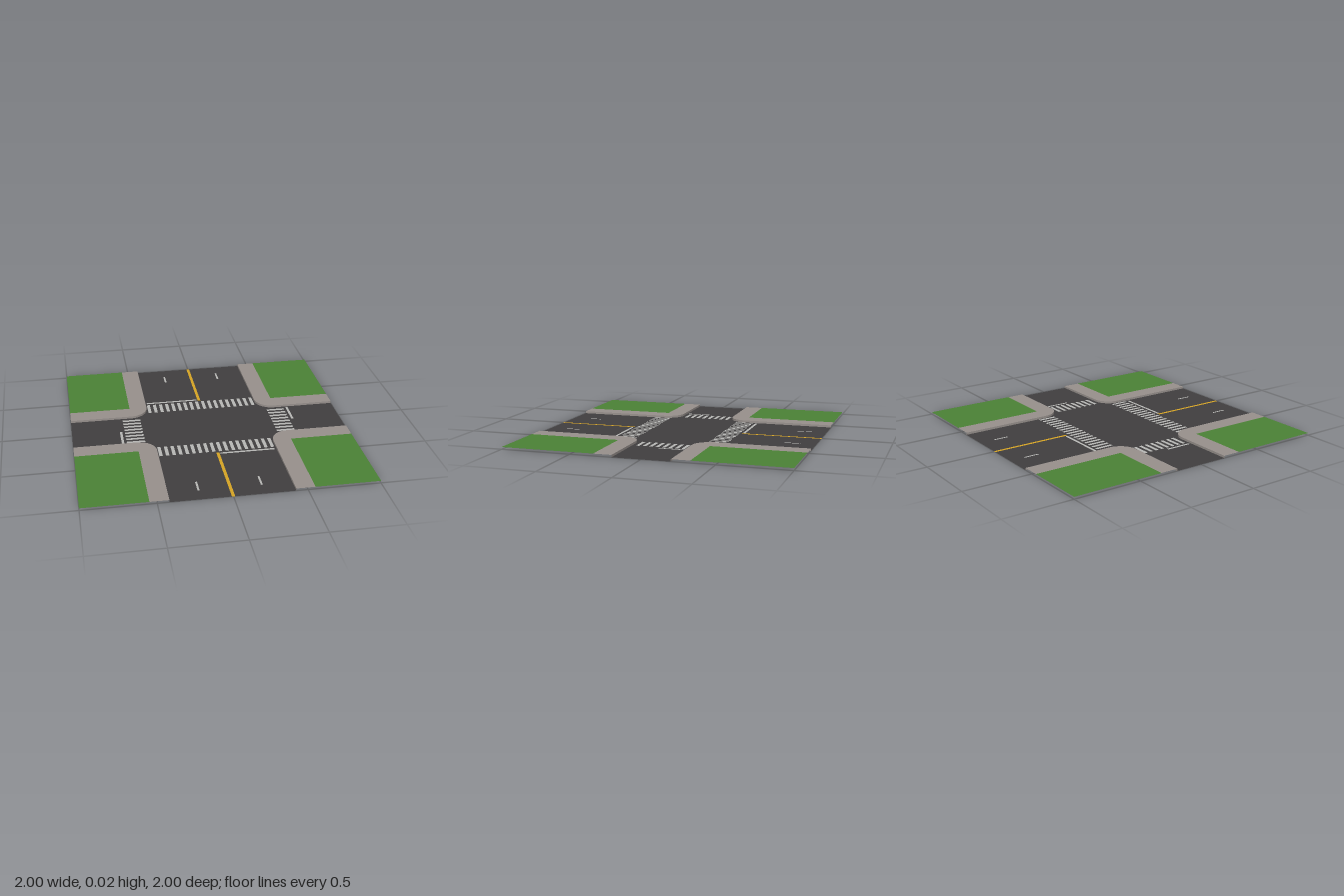
import * as THREE from 'three';

const ROAD_X = 0.42, ROAD_Z = 0.203; // half widths of the two roads
const WALK = 0.13; // pavement width and corner radius
const GRASS_X = ROAD_X + WALK, GRASS_Z = ROAD_Z + WALK;
const KERB_H = 0.016, LINE = 0.011, LINE_START = 0.417;

const mat = (color) => new THREE.MeshStandardMaterial({ color, side: THREE.DoubleSide });
const P = (x, z) => new THREE.Vector2(x, z);

// Plan shapes are given in (x, z) and laid flat facing up
function flat(shapes, y) {
  const geo = new THREE.ShapeGeometry(shapes);
  const pos = geo.attributes.position;
  for (let i = 0; i < pos.count; i++) pos.setY(i, -pos.getY(i));
  const idx = geo.index.array;
  for (let i = 0; i < idx.length; i += 3) [idx[i], idx[i + 1]] = [idx[i + 1], idx[i]];
  geo.rotateX(-Math.PI / 2).translate(0, y, 0);
  geo.computeVertexNormals();
  return geo;
}

const rect = (x0, x1, z0, z1) => [P(x0, z0), P(x1, z0), P(x1, z1), P(x0, z1)];

// Rounded kerb line of one corner, from the side road to the main road
function kerbLine(sx, sz) {
  const pts = [P(sx, sz * ROAD_Z)];
  const n = 12;
  for (let i = 0; i <= n; i++) {
    const a = (i / n) * Math.PI / 2;
    pts.push(P(sx * (GRASS_X - WALK * Math.sin(a)), sz * (GRASS_Z - WALK * Math.cos(a))));
  }
  pts.push(P(sx * ROAD_X, sz));
  return pts;
}

// Upright kerb face along a plan line
function kerbFace(line) {
  const pos = [], idx = [];
  line.forEach((p, i) => {
    pos.push(p.x, 0, p.y, p.x, KERB_H, p.y);
    if (i) {
      const a = 2 * i - 2;
      idx.push(a, a + 2, a + 3, a, a + 3, a + 1);
    }
  });
  const geo = new THREE.BufferGeometry();
  geo.setAttribute('position', new THREE.Float32BufferAttribute(pos, 3));
  geo.setIndex(idx);
  geo.computeVertexNormals();
  return geo;
}

export function createModel() {
  const model = new THREE.Group();
  model.name = 'roadCrossing';
  const asphalt = mat(0x403e3f), paving = mat(0x97908c), grass = mat(0x4b8236);
  const white = mat(0xb6b6b4), yellow = mat(0xd6a424);
  const add = (name, geo, material, parent = model) => {
    const mesh = new THREE.Mesh(geo, material);
    mesh.name = name;
    parent.add(mesh);
  };

  // White markings, inlaid in the asphalt
  const crossings = [], stopLines = [], laneDashes = [];
  const pitch = 0.047, half = 0.012;
  for (const s of [-1, 1]) {
    for (let i = 0; i < 18; i++) {
      const x = (i - 8.5) * pitch;
      crossings.push(rect(x - half, x + half, s * 0.268, s * 0.4));
    }
    for (let i = 0; i < 8; i++) {
      const z = (i - 3.5) * pitch;
      crossings.push(rect(s * 0.485, s * 0.618, z - half, z + half));
    }
    stopLines.push(rect(s * 0.017, s * 0.407, s * 0.418, s * 0.437));
    stopLines.push(rect(s * 0.636, s * 0.654, 0, -s * 0.19));
    for (const t of [-1, 1]) {
      const x = t * 0.213;
      laneDashes.push(rect(x - 0.007, x + 0.007, s * 0.779, s * 0.89));
    }
  }
  const toShapes = (list) => list.map((r) => new THREE.Shape(r));
  add('crossingStripes', flat(toShapes(crossings), 0), white);
  add('stopLines', flat(toShapes(stopLines), 0), white);
  add('laneDashes', flat(toShapes(laneDashes), 0), white);

  // Yellow centre lines
  const centre = [-1, 1].map((s) => rect(-LINE, LINE, s * LINE_START, s));
  add('centreLines', flat(toShapes(centre), 0), yellow);

  // Asphalt cross, open where the markings lie
  const notch = (s) => [P(s * LINE, s), P(s * LINE, s * LINE_START),
    P(-s * LINE, s * LINE_START), P(-s * LINE, s)];
  const road = new THREE.Shape([
    ...kerbLine(1, 1), ...notch(1), ...kerbLine(-1, 1).reverse(),
    ...kerbLine(-1, -1), ...notch(-1), ...kerbLine(1, -1).reverse(),
  ]);
  for (const r of [...crossings, ...stopLines, ...laneDashes]) road.holes.push(new THREE.Path(r));
  add('road', flat(road, 0), asphalt);

  // Four raised corners: kerb, pavement and lawn
  for (const sx of [-1, 1]) for (const sz of [-1, 1]) {
    const corner = new THREE.Group();
    corner.name = (sz > 0 ? 'front' : 'back') + (sx > 0 ? 'Left' : 'Right') + 'Corner';
    model.add(corner);
    const line = kerbLine(sx, sz);
    const walk = new THREE.Shape([...line, P(sx * GRASS_X, sz),
      P(sx * GRASS_X, sz * GRASS_Z), P(sx, sz * GRASS_Z)]);
    add('pavement', flat(walk, KERB_H), paving, corner);
    const lawn = new THREE.Shape(rect(sx * GRASS_X, sx, sz * GRASS_Z, sz));
    add('lawn', flat(lawn, KERB_H), grass, corner);
    add('kerb', kerbFace(sx * sz > 0 ? line : line.reverse()), paving, corner);
  }
  return model;
}
